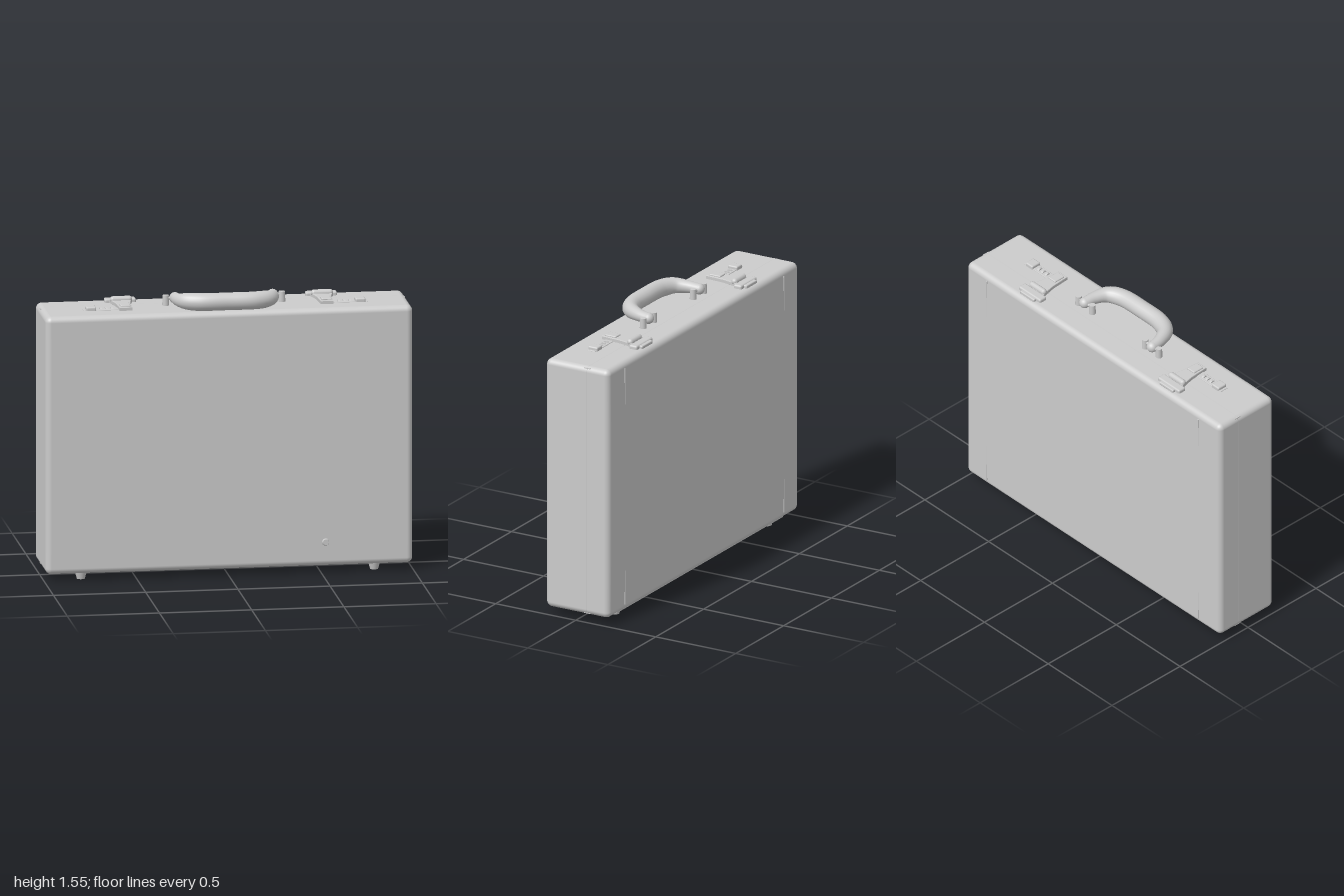
import * as THREE from 'three';
import { RoundedBoxGeometry } from 'three/addons/geometries/RoundedBoxGeometry.js';

const grey = new THREE.MeshStandardMaterial({ color: 0xcccccc });
const TOP = 1.457, BOTTOM = 0.04, SEAM = -0.065;

function add(parent, name, geometry, x = 0, y = 0, z = 0) {
  const mesh = new THREE.Mesh(geometry, grey);
  mesh.name = name;
  mesh.position.set(x, y, z);
  parent.add(mesh);
  return mesh;
}

const block = (w, h, d, r = 0.006) => new RoundedBoxGeometry(w, h, d, 2, Math.min(r, h / 2.1));

// Half of the case: rounded on all outer edges, sharp at the seam, outer face gently bulged
function shellGeometry(zSeam, zOuter, bulge) {
  const hx = 0.995, hy = (TOP - BOTTOM) / 2, r = 0.032, n = 24, rim = 5;
  const side = Math.sign(zOuter - zSeam);
  const geo = new THREE.BoxGeometry(2, 2, 2, n, n, n);
  const pos = geo.attributes.position, nor = geo.attributes.normal;
  // Packs the outermost grid lines into the rounded rim
  const remap = (u, half) => {
    const k = Math.abs(u) * n / 2, inner = n / 2 - rim;
    const v = k <= inner ? (k / inner) * (half - r) : half - r + ((k - inner) / rim) * r;
    return Math.sign(u) * v;
  };
  const p = new THREE.Vector3(), q = new THREE.Vector3();
  const hz = Math.abs(zOuter - zSeam) / 2, zMid = (zOuter + zSeam) / 2;
  for (let i = 0; i < pos.count; i++) {
    p.set(remap(pos.getX(i), hx), remap(pos.getY(i), hy), remap(pos.getZ(i), hz));
    q.set(
      THREE.MathUtils.clamp(p.x, r - hx, hx - r),
      THREE.MathUtils.clamp(p.y, r - hy, hy - r),
      side > 0 ? Math.min(p.z, hz - r) : Math.max(p.z, r - hz)
    );
    const d = p.clone().sub(q);
    if (d.lengthSq() > 1e-10) {
      d.normalize();
      nor.setXYZ(i, d.x, d.y, d.z);
      p.copy(q).addScaledVector(d, r);
    }
    const depth = (p.z * side + hz) / (2 * hz);
    const swell = (1 - Math.abs(p.x / hx) ** 8) * (1 - Math.abs(p.y / hy) ** 6);
    pos.setXYZ(i, p.x, p.y + (TOP + BOTTOM) / 2, p.z + zMid + side * bulge * swell * depth);
  }
  return geo;
}

// Padded grip: a tube that swells towards the middle
function gripGeometry() {
  const half = [[0.265, 1.496, -0.015], [0.256, 1.5, 0.05], [0.225, 1.505, 0.115], [0.15, 1.506, 0.153]];
  const points = [
    ...half.map(([x, y, z]) => new THREE.Vector3(-x, y, z)),
    new THREE.Vector3(0, 1.507, 0.16),
    ...half.slice().reverse().map(([x, y, z]) => new THREE.Vector3(x, y, z))
  ];
  const curve = new THREE.CatmullRomCurve3(points);
  const steps = 64, sides = 20;
  const geo = new THREE.TubeGeometry(curve, steps, 1, sides);
  const pos = geo.attributes.position, v = new THREE.Vector3();
  for (let i = 0; i <= steps; i++) {
    const c = curve.getPointAt(i / steps);
    const t = Math.min(i, steps - i) / steps;
    const radius = 0.03 + 0.018 * THREE.MathUtils.smoothstep(t, 0, 0.28);
    for (let j = 0; j <= sides; j++) {
      const k = i * (sides + 1) + j;
      v.fromBufferAttribute(pos, k).sub(c).multiplyScalar(radius).add(c);
      pos.setXYZ(k, v.x, v.y, v.z);
    }
  }
  return geo;
}

// Flat latch lever, outlined in plan and tapering towards the front
function leverGeometry() {
  const half = [[0.058, -0.11], [0.044, -0.06], [0.036, -0.02], [0.03, 0.085]];
  const outline = [...half, ...half.slice().reverse().map(([x, z]) => [-x, z])];
  const shape = new THREE.Shape(outline.map(([x, z]) => new THREE.Vector2(x, -z)));
  const geo = new THREE.ExtrudeGeometry(shape, {
    depth: 0.016, bevelThickness: 0.004, bevelSize: 0.004, bevelSegments: 2
  });
  return geo.rotateX(-Math.PI / 2);
}

function createLatch(name, x) {
  const latch = new THREE.Group();
  latch.name = name;
  latch.position.set(x, TOP, 0);
  add(latch, 'latchLever', leverGeometry());
  add(latch, 'latchHasp', block(0.17, 0.03, 0.05, 0.01), 0, 0.006, -0.135);
  add(latch, 'latchCatch', block(0.11, 0.02, 0.035), 0, 0.006, -0.16);
  const roll = add(latch, 'latchHinge', new THREE.CapsuleGeometry(0.018, 0.085, 5, 12), 0, 0.022, -0.095);
  roll.rotation.z = Math.PI / 2;
  add(latch, 'latchPad', block(0.055, 0.012, 0.07), 0, 0.022, 0.04);
  return latch;
}

// Sliding button and three number wheels beside each latch
function createLock(name, side) {
  const lock = new THREE.Group();
  lock.name = name;
  lock.position.set(0, TOP, 0.04);
  add(lock, 'lockPlate', block(0.2, 0.008, 0.05, 0.003), side * 0.67, 0, 0);
  add(lock, 'lockButton', block(0.055, 0.03, 0.06, 0.008), side * 0.73, 0.006, 0);
  for (let i = 0; i < 3; i++) {
    const wheel = add(lock, 'numberWheel', new THREE.CylinderGeometry(0.018, 0.018, 0.013, 16),
      side * (0.675 - i * 0.03), -0.006, 0);
    wheel.rotation.z = Math.PI / 2;
  }
  return lock;
}

export function createModel() {
  const model = new THREE.Group();
  model.name = 'briefcase';

  // Case halves, with a recessed core that forms the seam groove
  add(model, 'caseBase', shellGeometry(SEAM + 0.002, 0.195, 0.014));
  add(model, 'caseLid', shellGeometry(SEAM - 0.002, -0.202, 0.011));
  add(model, 'seamCore', new THREE.BoxGeometry(1.975, TOP - BOTTOM - 0.014, 0.04), 0, (TOP + BOTTOM) / 2, SEAM);
  add(model, 'bottomRail', block(1.74, 0.02, 0.13), 0, 0.041, -0.115);

  // Carrying handle with a pivot post on each side of both ends
  const handle = new THREE.Group();
  handle.name = 'handle';
  model.add(handle);
  add(handle, 'handleGrip', gripGeometry());

  for (const side of [-1, 1]) {
    const label = side > 0 ? 'left' : 'right';
    add(handle, 'gripEnd', new THREE.SphereGeometry(0.0302, 20, 12), side * 0.265, 1.496, -0.015);
    for (const x of [0.207, 0.315]) {
      add(handle, 'pivotPost', new THREE.CylinderGeometry(0.017, 0.019, 0.06, 14), side * x, TOP + 0.026, -0.012);
    }
    const pin = add(handle, 'pivotPin', new THREE.CylinderGeometry(0.009, 0.009, 0.11, 10), side * 0.261, 1.496, -0.012);
    pin.rotation.z = Math.PI / 2;

    model.add(createLatch(label + 'Latch', side * 0.545));
    model.add(createLock(label + 'Lock', side));

    // Slim raised trim line down the back
    add(model, 'backTrim', block(0.008, 1.35, 0.012, 0.003), side * 0.83, 0.75, -0.204);

    // Feet
    for (const z of [0.12, -0.125]) {
      add(model, 'foot', new THREE.CylinderGeometry(0.034, 0.022, 0.045, 14), side * 0.795, 0.0225, z);
    }
  }

  // Small stud on the front face
  const stud = add(model, 'frontStud', new THREE.CylinderGeometry(0.016, 0.021, 0.012, 14), 0.52, 0.175, 0.208);
  stud.rotation.x = Math.PI / 2;

  return model;
}
